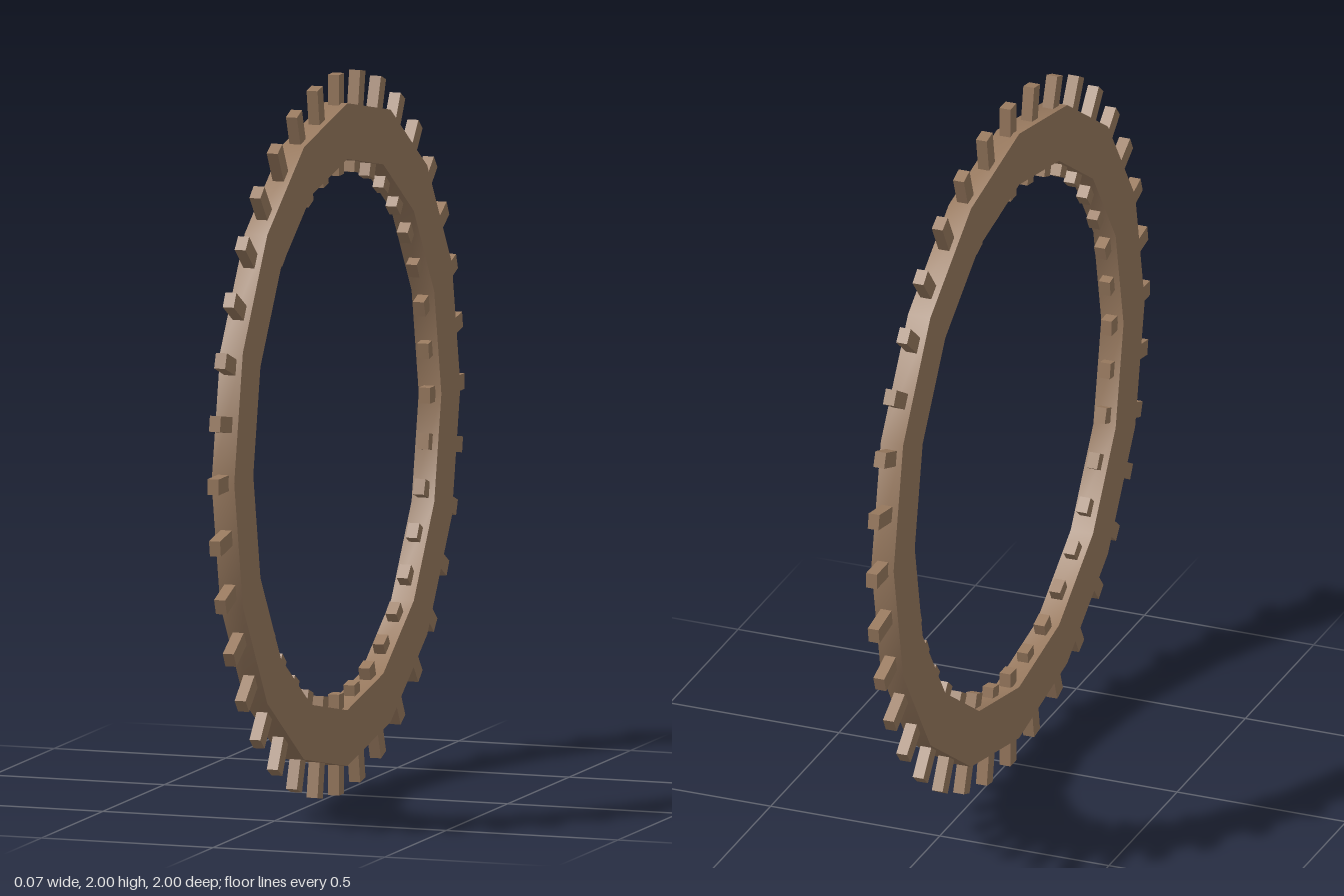
import * as THREE from 'three';
import { toCreasedNormals } from 'three/addons/utils/BufferGeometryUtils.js';

const SIDES = 16, TEETH = 36;
const R_OUT = 0.92, R_IN = 0.765, HALF = 0.033;
const TIP = 1.0, ROOT = 0.72, TOOTH_W = 0.044, TOOTH_T = 0.032;

export function createModel() {
  const model = new THREE.Group();
  model.name = 'toothedRing';
  const material = new THREE.MeshStandardMaterial({ color: 0x9a7b60 });

  // Sixteen-sided ring with a rectangular section, its axis along x
  const section = [[R_IN, -HALF], [R_OUT, -HALF], [R_OUT, HALF], [R_IN, HALF], [R_IN, -HALF]]
    .map(([r, h]) => new THREE.Vector2(r, h));
  const ringGeometry = toCreasedNormals(new THREE.LatheGeometry(section, SIDES), Math.PI / 6);
  ringGeometry.rotateZ(Math.PI / 2);
  const ring = new THREE.Mesh(ringGeometry, material);
  ring.name = 'ring';
  ring.position.y = 1;
  model.add(ring);

  // Radial bars that pass through the ring and stick out on both sides
  const teeth = new THREE.Group();
  teeth.name = 'teeth';
  teeth.position.y = 1;
  const barGeometry = new THREE.BoxGeometry(TOOTH_T, TIP - ROOT, TOOTH_W);
  barGeometry.translate(0, (TIP + ROOT) / 2, 0);
  for (let i = 0; i < TEETH; i++) {
    const tooth = new THREE.Mesh(barGeometry, material);
    tooth.name = 'tooth' + (i + 1);
    tooth.rotation.x = (i / TEETH) * Math.PI * 2;
    teeth.add(tooth);
  }
  model.add(teeth);

  return model;
}
